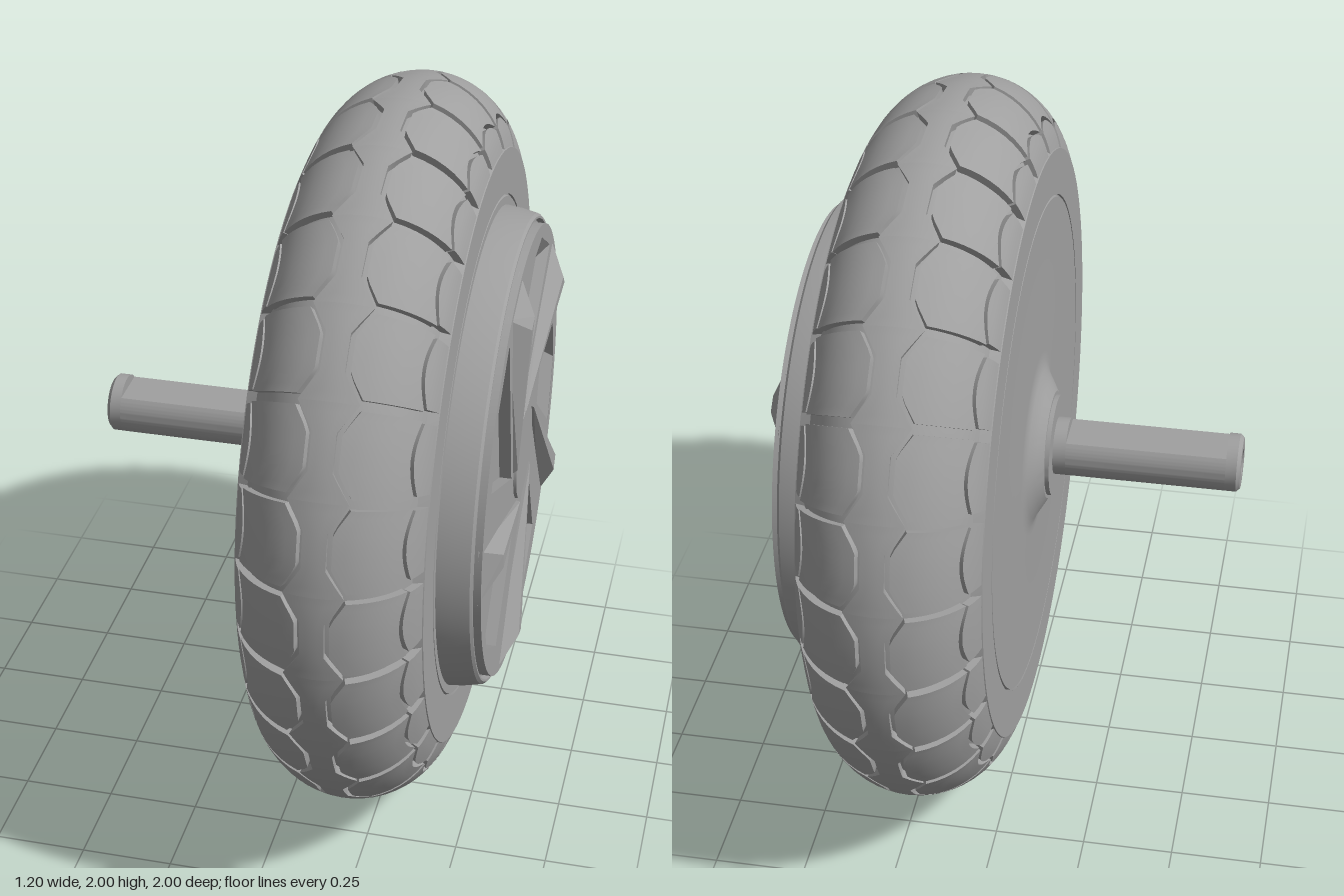
import * as THREE from 'three';
import { mergeGeometries, toCreasedNormals } from 'three/addons/utils/BufferGeometryUtils.js';
import { ConvexGeometry } from 'three/addons/geometries/ConvexGeometry.js';

const COUNT = 26;                 // tread blocks around the tyre
const STEP = Math.PI * 2 / COUNT;
const MID = 0.21, RING = 0.755;   // tyre section centre along the axle and its radius
const TOP = 0.245, FLOOR = 0.224; // section radius at tread top and groove floor

// Point on the tyre: theta around the axle, phi across the section
function tyrePoint(theta, phi, rho) {
  const r = RING + rho * Math.cos(phi);
  return [r * Math.sin(theta), r * Math.cos(theta), MID + rho * Math.sin(phi)];
}

// Raised tread tile between two edges phi = lo(t), hi(t), with walls to the groove floor
function tile(gap, lo, hi, nu, nv) {
  const pos = [];
  const at = (i, j, rho) => {
    const t = gap + (1 - 2 * gap) * i / nu;
    const phi = lo(t) + (hi(t) - lo(t)) * j / nv;
    return tyrePoint(t * STEP, phi, rho);
  };
  const quad = (a, b, c, d) => pos.push(...a, ...b, ...c, ...a, ...c, ...d);
  for (let i = 0; i < nu; i++)
    for (let j = 0; j < nv; j++)
      quad(at(i, j, TOP), at(i, j + 1, TOP), at(i + 1, j + 1, TOP), at(i + 1, j, TOP));
  const wall = (i, j, k, l) => quad(at(i, j, TOP), at(i, j, FLOOR - 0.005), at(k, l, FLOOR - 0.005), at(k, l, TOP));
  for (let j = 0; j < nv; j++) {
    wall(0, j, 0, j + 1);
    wall(nu, j + 1, nu, j);
  }
  for (let i = 0; i < nu; i++) {
    wall(i, nv, i + 1, nv);
    wall(i + 1, 0, i, 0);
  }
  const g = new THREE.BufferGeometry();
  g.setAttribute('position', new THREE.Float32BufferAttribute(pos, 3));
  return toCreasedNormals(g, 0.6);
}

// Turned part from [radius, axle position] pairs
function turned(points, segments = 96) {
  const g = new THREE.LatheGeometry(points.map(p => new THREE.Vector2(...p)), segments);
  g.rotateX(Math.PI / 2);
  return toCreasedNormals(g, 0.5);
}

export function createModel() {
  const grey = new THREE.MeshStandardMaterial({ color: 0xa0a0a0 });
  grey.name = 'grey';
  const model = new THREE.Group();
  model.name = 'hubMotorWheel';
  // The wheel is built around local z, then turned so the axle lies along x
  const wheel = new THREE.Group();
  wheel.name = 'wheel';
  wheel.rotation.y = Math.PI / 2;
  wheel.position.y = 1;
  model.add(wheel);
  const add = (name, geometry, parent = wheel) => {
    const mesh = new THREE.Mesh(geometry, grey);
    mesh.name = name;
    parent.add(mesh);
    return mesh;
  };

  // Tyre casing: flat sidewalls and a round groove floor
  const casing = [[0.69, -0.03], [0.815, -0.03]];
  for (let i = 0; i <= 28; i++) {
    const phi = -1.24 + 2.48 * i / 28;
    casing.push([RING + FLOOR * Math.cos(phi), MID + FLOOR * Math.sin(phi)]);
  }
  casing.push([0.815, 0.45], [0.69, 0.45]);
  add('tyreCasing', turned(casing, 104));

  // Tread: zigzag centre band, side blocks and arched shoulder blocks
  const zig = t => 0.37 - 0.19 * Math.min(1, Math.min(t, 1 - t) / 0.3);
  const arch = t => 1.06 - 0.13 * Math.sin(Math.PI * t);
  const pieces = [tile(0, t => 0.055 - zig(t), t => zig(t) - 0.055, 10, 4)];
  const bothSides = (gap, lo, hi, nv) => {
    pieces.push(tile(gap, lo, hi, 10, nv));
    pieces.push(tile(gap, t => -hi(t), t => -lo(t), 10, nv));
  };
  bothSides(0.055, zig, arch, 6);
  bothSides(0.08, t => arch(t) + 0.05, () => 1.32, 3);
  const treadPeriod = mergeGeometries(pieces);
  const tread = new THREE.Group();
  tread.name = 'tread';
  wheel.add(tread);
  for (let k = 0; k < COUNT; k++) add('treadSection', treadPeriod, tread).rotation.z = k * STEP;

  // Motor housing: back plate with a boss, seam grooves and the front cover
  add('backPlate', turned([
    [0, -0.085], [0.14, -0.085], [0.14, -0.073], [0.15, -0.073], [0.18, -0.056], [0.21, -0.038],
    [0.235, -0.031], [0.26, -0.03], [0.683, -0.03], [0.686, -0.022], [0.69, -0.022], [0.69, -0.03],
  ]));
  add('frontCover', turned([
    [0.69, 0.45], [0.69, 0.443], [0.686, 0.443], [0.683, 0.45], [0.66, 0.45], [0.655, 0.49],
    [0.645, 0.535], [0.638, 0.542], [0.632, 0.542], [0.626, 0.528], [0, 0.528],
  ]));

  // Cover face with five swept pockets
  const pocket = [[-0.51, 0.17], [-0.46, 0.36], [-0.31, 0.49], [-0.17, 0.01]];
  const face = new THREE.Shape();
  face.absarc(0, 0, 0.62, 0, Math.PI * 2, false);
  for (let k = 0; k < 5; k++) {
    const c = Math.cos(k * Math.PI * 0.4), s = Math.sin(k * Math.PI * 0.4);
    face.holes.push(new THREE.Path(pocket.map(([x, y]) => new THREE.Vector2(x * c - y * s, x * s + y * c))));
  }
  const plate = new THREE.ExtrudeGeometry(face, { depth: 0.036, bevelEnabled: false, curveSegments: 80 });
  plate.translate(0, 0, 0.524);
  add('coverFace', toCreasedNormals(plate, 0.5));
  add('hubDisc', turned([[0.135, 0.55], [0.13, 0.568], [0, 0.568]], 48));

  // Sloped pocket ends and raised swept vanes
  const solid = pts => new ConvexGeometry(pts.map(p => new THREE.Vector3(...p)));
  const slope = solid([
    [-0.46, 0.36, 0.559], [-0.31, 0.49, 0.559], [-0.46, 0.36, 0.52], [-0.31, 0.49, 0.52],
    [-0.45, 0.30, 0.52], [-0.30, 0.43, 0.52],
  ]);
  const vane = solid([
    [-0.29, 0.55, 0.55], [-0.13, 0.61, 0.55], [-0.14, 0, 0.55],
    [-0.20, 0.48, 0.6], [-0.16, 0.50, 0.6], [-0.14, 0.02, 0.572],
  ]);
  for (let k = 0; k < 5; k++) {
    add('pocketSlope', slope).rotation.z = k * Math.PI * 0.4;
    add('vane', vane).rotation.z = k * Math.PI * 0.4;
  }

  // Axle: flat-topped shaft between a round collar and a drilled tip
  const section = new THREE.Shape();
  const flat = Math.asin(0.05 / 0.08);
  section.absarc(0, 0, 0.08, Math.PI - flat, Math.PI * 2 + flat, false);
  section.closePath();
  const shaft = new THREE.ExtrudeGeometry(section, { depth: 0.44, bevelEnabled: false, curveSegments: 36 });
  shaft.translate(0, 0, -0.56);
  add('axleShaft', toCreasedNormals(shaft, 0.5));
  add('axleTip', turned([
    [0, -0.565], [0.038, -0.565], [0.038, -0.6], [0.07, -0.6], [0.08, -0.59], [0.08, -0.56], [0, -0.56],
  ], 40));
  add('axleCollar', turned([[0, -0.12], [0.08, -0.12], [0.08, -0.08]], 40));

  return model;
}
